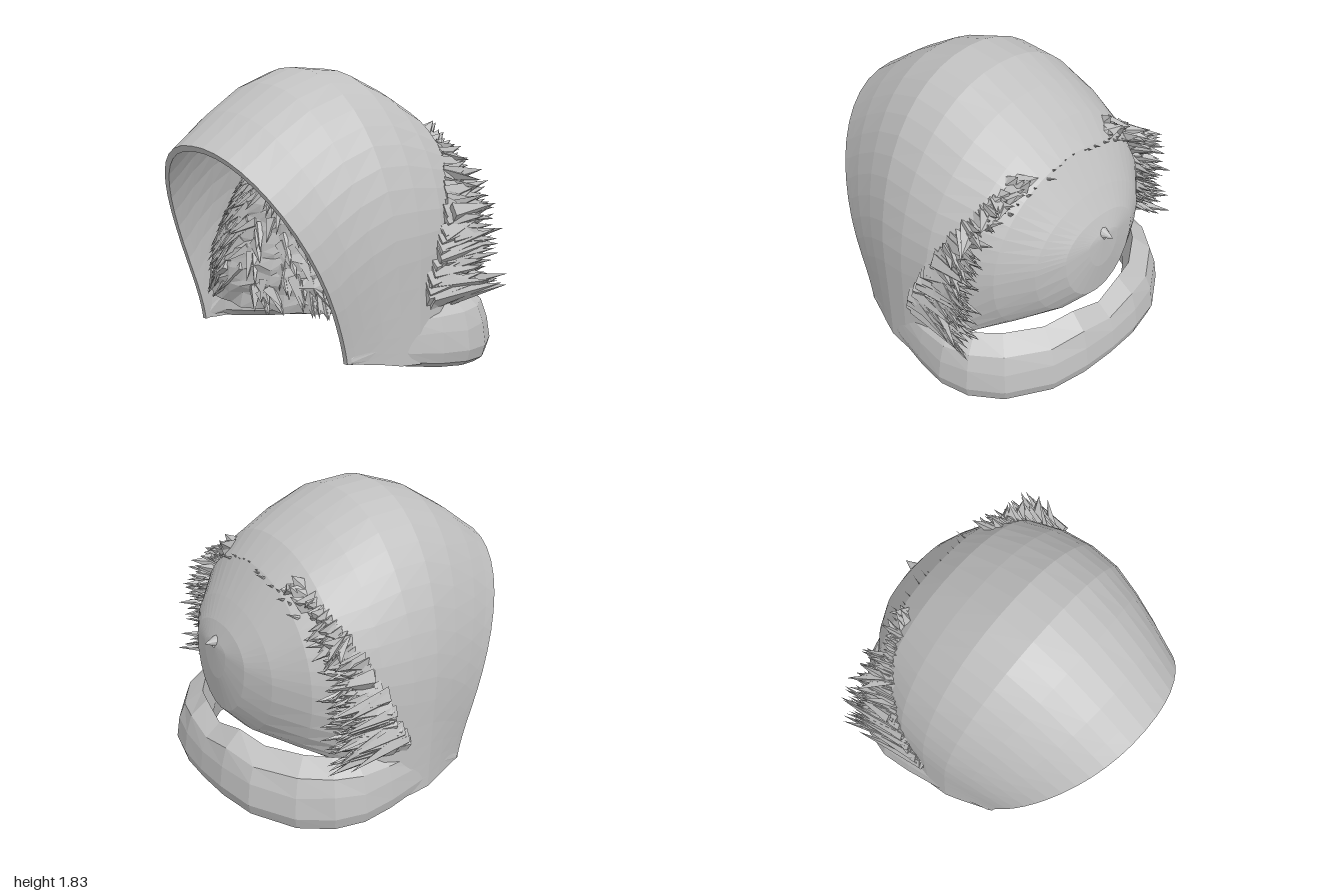
import * as THREE from 'three';
import { mergeGeometries } from 'three/addons/utils/BufferGeometryUtils.js';

const grey = new THREE.MeshStandardMaterial({ color: 0xc0c0c0, flatShading: true, side: THREE.DoubleSide });
grey.name = 'grey';

let seed = 7;
const rand = () => (seed = (seed * 16807) % 2147483647) / 2147483647;
const jitter = (a) => (rand() * 2 - 1) * a;
const lerp = THREE.MathUtils.lerp;

// piecewise linear lookup in [key, value] pairs with rising keys
function look(table, k) {
  if (k <= table[0][0]) return table[0][1];
  for (let i = 1; i < table.length; i++) {
    const [a, va] = table[i - 1], [b, vb] = table[i];
    if (k <= b) return lerp(va, vb, (k - a) / (b - a));
  }
  return table[table.length - 1][1];
}

// surface through equal-length rings of points
function loft(rings, closed = false) {
  const n = rings[0].length, pos = rings.flat(2), idx = [];
  const m = closed ? n : n - 1;
  for (let i = 0; i < rings.length - 1; i++)
    for (let j = 0; j < m; j++) {
      const a = i * n + j, b = i * n + ((j + 1) % n), c = a + n, d = b + n;
      idx.push(a, b, d, a, d, c);
    }
  const g = new THREE.BufferGeometry();
  g.setAttribute('position', new THREE.Float32BufferAttribute(pos, 3));
  g.setIndex(idx);
  g.computeVertexNormals();
  return g;
}

// flattened pointed lock of hair from root to tip
function lock(root, tip, r, flat = 0.4) {
  const a = new THREE.Vector3(...root), b = new THREE.Vector3(...tip);
  const d = b.clone().sub(a), len = d.length();
  const g = new THREE.ConeGeometry(r, len, 4, 1);
  g.scale(flat, 1, 1);
  g.translate(0, len / 2, 0);
  g.applyQuaternion(new THREE.Quaternion().setFromUnitVectors(new THREE.Vector3(0, 1, 0), d.normalize()));
  g.translate(a.x, a.y, a.z);
  return g;
}

// hood sections: top z, top y, bottom z, bottom y, half width, widest y, lower rounding
const sections = [
  [1.0, 1.385, 0.44, 0.14, 0.745, 0.45, 0],
  [0.9, 1.46, 0.39, 0.14, 0.765, 0.48, 0],
  [0.75, 1.575, 0.32, 0.13, 0.79, 0.55, 0],
  [0.5, 1.735, 0.23, 0.12, 0.825, 0.63, 0],
  [0.25, 1.825, 0.12, 0.1, 0.86, 0.7, 0],
  [0.0, 1.81, -0.02, 0.09, 0.87, 0.72, 0],
  [-0.23, 1.71, -0.2, 0.1, 0.85, 0.75, 0],
  [-0.45, 1.59, -0.42, 0.36, 0.77, 0.8, 0.15],
  [-0.6, 1.45, -0.58, 0.4, 0.66, 0.84, 0.4],
  [-0.74, 1.24, -0.74, 0.44, 0.47, 0.88, 0.75],
  [-0.82, 1.11, -0.84, 0.54, 0.3, 0.92, 1],
  [-0.86, 1.01, -0.868, 0.76, 0.13, 0.95, 1],
  [-0.87, 0.98, -0.87, 0.96, 0.01, 0.97, 1],
];
function arch([zt, yt, zb, yb, w, y0, k], d) {
  const pts = [], low = 6, high = 12;
  const side = [];
  for (let i = 0; i <= low + high; i++) {
    let x, y;
    if (i < low) {
      const t = (1 - i / low) * Math.PI / 2;
      y = lerp(y0, yb, Math.sin(t));
      x = (w - d) * (1 - k * (1 - Math.cos(t)));
    } else {
      const t = (i - low) / high * Math.PI / 2;
      y = y0 + (yt - d - y0) * Math.sin(t);
      x = (w - d) * Math.pow(Math.max(0, Math.cos(t)), 0.92);
    }
    const s = (y - yb) / (yt - yb);
    side.push([Math.max(0, x), y, lerp(zb, zt, Math.pow(Math.max(0, s), 1.35))]);
  }
  for (const p of side) pts.push(p);
  for (const [x, y, z] of side.slice(0, -1).reverse()) pts.push([-x, y, z]);
  return pts;
}
function hood() {
  const inner = sections.slice(0, 10).reverse().map((s) => arch(s, 0.035));
  return loft([...inner, ...sections.map((s) => arch(s, 0))]);
}

// collar roll: plan points x, z, thickness, top y, bottom y
function collar() {
  const half = [
    [0.76, 0.42, 0.03, 0.2, 0.14], [0.815, 0.26, 0.05, 0.45, 0.125], [0.87, 0.05, 0.09, 0.42, 0.08],
    [0.91, -0.18, 0.13, 0.43, 0.04], [0.93, -0.38, 0.16, 0.44, 0.02], [0.88, -0.57, 0.18, 0.45, 0.005],
    [0.74, -0.76, 0.2, 0.45, 0], [0.48, -0.93, 0.2, 0.45, 0.02], [0.24, -0.99, 0.18, 0.49, 0.04], [0, -1.0, 0.16, 0.44, 0.05],
  ];
  const plan = [...half, ...half.slice(0, -1).reverse().map(([x, ...r]) => [-x, ...r])];
  const rings = plan.map(([x, z, t, top, bot], i) => {
    const a = plan[Math.max(0, i - 1)], b = plan[Math.min(plan.length - 1, i + 1)];
    let nx = -(b[1] - a[1]), nz = b[0] - a[0];
    const l = Math.hypot(nx, nz);
    nx /= l; nz /= l;
    const h = top - bot, wob = (i % 2 ? 0.02 : -0.01) * (t > 0.1 ? 1 : 0);
    return [[-0.9, 1], [-0.3, 0.8], [-0.1, 0.55 + wob], [0, 0.25], [-0.12, 0.08], [-0.4, 0], [-1, 0.12], [-1.15, 0.5]]
      .map(([o, v]) => [x + nx * o * t, bot + h * v, z + nz * o * t]);
  });
  return loft(rings, true);
}

// hair mass inside the hood: outline at height y and angle a (0 faces front)
const front = [[0.38, 0.66], [0.6, 0.66], [0.8, 0.58], [1.0, 0.5], [1.2, 0.4], [1.38, 0.25]];
function hairPoint(y, a, out = 0) {
  const c = Math.cos(a), s = Math.sin(a);
  const w = 0.76 * Math.sqrt(Math.max(0, 1 - Math.pow((y - 0.45) / 0.98, 2))) + out;
  const zc = -0.05, f = c > 0 ? look(front, y) - zc + out : 0.5;
  return [w * Math.sign(s) * Math.pow(Math.abs(s), 0.85), y, zc + f * Math.sign(c) * Math.pow(Math.abs(c), 0.85)];
}
function hairMass() {
  const rings = [], n = 44, rows = 20;
  rings.push(Array.from({ length: n }, () => [0, 0.48, 0.05]));
  for (let i = 0; i <= rows; i++) {
    const y = lerp(0.4, 1.4, i / rows);
    rings.push(Array.from({ length: n }, (_, j) =>
      hairPoint(y + (i < rows ? jitter(0.02) : 0), j / n * Math.PI * 2, jitter(0.016) - 0.01)));
  }
  rings.push(Array.from({ length: n }, () => [0, 1.42, 0.05]));
  return loft(rings, true);
}
function faceLocks() {
  const parts = [];
  for (let i = 0; i < 260; i++) {
    const y = lerp(0.48, 1.3, rand()), a = jitter(1.35);
    const drop = 0.09 + rand() * 0.12;
    const root = hairPoint(y, a, -0.03);
    const tip = hairPoint(Math.max(0.38, y - drop), a + (a < 0 ? -0.14 : 0.1) + jitter(0.08), 0.015 + rand() * 0.015);
    tip[0] = THREE.MathUtils.clamp(tip[0], -0.74, 0.74);
    parts.push(lock(root, tip, 0.035 + rand() * 0.02, 0.7));
  }
  return mergeGeometries(parts);
}

// side tufts pushing out through the hood
const hoodX = (y, z) => {
  const w = 0.87 - 0.48 * Math.pow(Math.max(0, -0.15 - z), 1.3), top = 1.86 + 0.68 * z;
  return w * Math.sqrt(Math.max(0.02, 1 - Math.pow(Math.max(0, y - 0.72) / (top - 0.72), 2)));
};
const frontLine = [[0.45, 0.0], [0.8, -0.15], [1.15, -0.35], [1.42, -0.53]];
const reach = [[0.4, 0.96], [0.6, 0.97], [0.8, 0.93], [1.0, 0.92], [1.15, 0.86], [1.3, 0.68], [1.44, 0.44]];
function sideTufts(side) {
  const parts = [];
  for (let i = 0; i < 150; i++) {
    const y = lerp(0.47, 1.4, Math.pow(rand(), 1.1)), z0 = look(frontLine, y);
    const z = lerp(z0 - 0.03, -0.42, rand() * 0.6);
    const zt = Math.min(z - 0.08, -0.56 + jitter(0.08));
    const yt = y + 0.03 + jitter(0.07);
    const inX = hoodX(y, zt), x = lerp(inX, look(reach, yt), 0.35 + 0.65 * rand());
    parts.push(lock([side * (hoodX(y, z) - 0.015), y, z], [side * (x + jitter(0.02)), yt, zt], 0.05 + rand() * 0.03, 0.6));
  }
  // a few longer stray points
  for (const [y, x, z] of [[0.5, 0.96, -0.67], [0.58, 1.0, -0.62], [0.85, 0.93, -0.66], [1.0, 0.88, -0.64]])
    parts.push(lock([side * 0.84, y - 0.04, -0.3], [side * x, y, z], 0.07, 0.6));
  return mergeGeometries(parts);
}

// row of tiny hair tips over the back of the crown
function crownTips() {
  const parts = [];
  for (let i = 0; i <= 16; i++) {
    const x = lerp(-0.5, 0.5, i / 16) + jitter(0.02);
    const y = 1.45 - 0.55 * x * x;
    parts.push(lock([x, y - 0.04, -0.56], [x + jitter(0.02), y + 0.01 + jitter(0.015), -0.64 - jitter(0.04)], 0.016));
  }
  return mergeGeometries(parts);
}

export function createModel() {
  const group = new THREE.Group();
  const add = (name, geometry) => {
    const mesh = new THREE.Mesh(geometry, grey);
    mesh.name = name;
    group.add(mesh);
    return mesh;
  };
  add('hood', hood());
  add('collar', collar());
  add('hairMass', hairMass());
  add('faceLocks', faceLocks());
  add('leftTufts', sideTufts(1));
  add('rightTufts', sideTufts(-1));
  add('crownTips', crownTips());
  const spike = add('backSpike', new THREE.ConeGeometry(0.06, 0.13, 10));
  spike.rotation.x = -Math.PI / 2;
  spike.position.set(0, 1.0, -0.865);
  return group;
}
